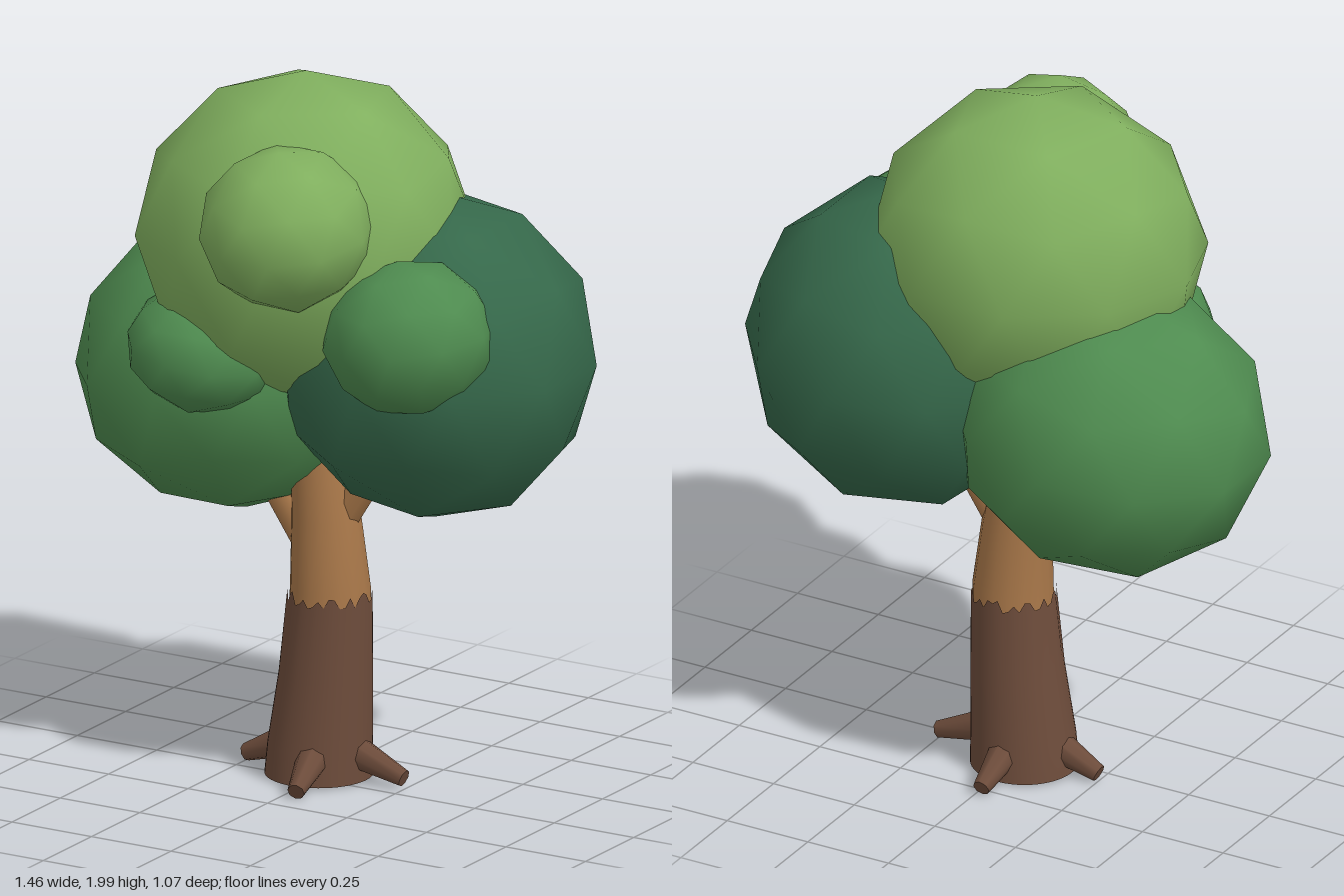
import * as THREE from 'three';

const mat = (name, color) => Object.assign(new THREE.MeshStandardMaterial({ color }), { name });

// Smooth tube lofted through rings [x, y, z, radius]; jag(i) offsets the height of the last ring
function loft(rings, sides, jag = () => 0) {
  const pos = [], index = [];
  rings.forEach(([x, y, z, r], k) => {
    for (let i = 0; i < sides; i++) {
      const a = (i / sides) * Math.PI * 2;
      const lift = k === rings.length - 1 ? jag(i) : 0;
      pos.push(x + r * Math.sin(a), y + lift, z + r * Math.cos(a));
      if (k === 0) continue;
      const j = (i + 1) % sides, lo = (k - 1) * sides, hi = k * sides;
      index.push(lo + i, lo + j, hi + j, lo + i, hi + j, hi + i);
    }
  });
  const geo = new THREE.BufferGeometry();
  geo.setAttribute('position', new THREE.Float32BufferAttribute(pos, 3));
  geo.setIndex(index);
  geo.computeVertexNormals();
  return geo;
}

export function createModel() {
  const tree = new THREE.Group();
  tree.name = 'tree';
  const bark = mat('bark brown', 0x6d4c3b);
  const wood = mat('light wood', 0xa87749);
  const lightLeaf = mat('light green', 0x80af5e);
  const midLeaf = mat('mid green', 0x4f8c50);
  const darkLeaf = mat('dark green', 0x36694b);

  const add = (name, geo, material) => {
    const mesh = new THREE.Mesh(geo, material);
    mesh.name = name;
    tree.add(mesh);
    return mesh;
  };

  // Tapered round limb between two points
  const limb = (name, from, to, r0, r1, material) => {
    const a = new THREE.Vector3(...from), b = new THREE.Vector3(...to);
    const dir = b.clone().sub(a);
    const mesh = add(name, new THREE.CylinderGeometry(r1, r0, dir.length(), 8), material);
    mesh.position.copy(a).add(b).multiplyScalar(0.5);
    mesh.quaternion.setFromUnitVectors(new THREE.Vector3(0, 1, 0), dir.normalize());
  };

  // Lower trunk with a ragged bark edge
  const teeth = [0, 0.028, 0.024, 0.004, 0.03, 0.006, 0.002, 0.035, 0.03, 0, 0.022, 0.004];
  add('barkTrunk', loft([
    [-0.02, 0.01, -0.05, 0.147], [-0.016, 0.1, -0.05, 0.142],
    [0, 0.3, -0.053, 0.127], [0.011, 0.505, -0.055, 0.115],
  ], 48, (i) => teeth[(i * 5 + Math.floor(i / 12)) % 12]), bark);
  const base = add('trunkBase', new THREE.CircleGeometry(0.147, 24), bark);
  base.rotation.x = Math.PI / 2;
  base.position.set(-0.02, 0.01, -0.05);

  // Bare upper trunk
  add('upperTrunk', loft([
    [0.011, 0.45, -0.055, 0.113], [0.013, 0.54, -0.055, 0.11],
    [0, 0.74, -0.055, 0.095], [-0.02, 0.9, -0.055, 0.08], [-0.03, 1.1, -0.04, 0.06],
  ], 16), wood);

  // Branches that run into the crown
  limb('leftBranch', [0.02, 0.7, -0.06], [0.2, 0.98, -0.08], 0.05, 0.04, wood);
  limb('rightBranch', [-0.04, 0.66, -0.05], [-0.24, 0.92, -0.06], 0.055, 0.045, wood);

  // Four roots around the foot
  limb('rightRoot', [-0.09, 0.095, -0.05], [-0.25, 0.028, -0.05], 0.05, 0.024, bark);
  limb('leftRoot', [0.07, 0.095, -0.05], [0.247, 0.035, -0.05], 0.05, 0.024, bark);
  limb('frontRoot', [0.02, 0.095, 0.03], [0.05, 0.028, 0.185], 0.05, 0.024, bark);
  limb('backRoot', [-0.02, 0.095, -0.13], [-0.02, 0.03, -0.285], 0.05, 0.024, bark);

  // Leaf clumps: coarse, smooth-shaded balls with a corner at the top
  const ball = new THREE.IcosahedronGeometry(1, 1);
  ball.rotateZ(Math.atan(2 / (1 + Math.sqrt(5))));
  [
    ['topCrown', lightLeaf, [-0.03, 1.54, 0], [0.465, 0.46, 0.425], [0, 0.3, 0]],
    ['leftCrown', darkLeaf, [0.31, 1.225, -0.115], [0.445, 0.458, 0.43], [0, 0, 0]],
    ['rightCrown', midLeaf, [-0.31, 1.115, -0.085], [0.445, 0.41, 0.41], [0, 0, 0.1]],
    ['frontTopClump', lightLeaf, [0.09, 1.655, 0.295], [0.24, 0.228, 0.238], [0.2, 0.3, 0]],
    ['frontLeftClump', midLeaf, [0.41, 1.37, 0.19], [0.238, 0.215, 0.225], [0, 0.3, 0.15]],
    ['frontRightClump', midLeaf, [-0.22, 1.245, 0.215], [0.215, 0.175, 0.21], [0, 0, -0.15]],
  ].forEach(([name, material, position, scale, turn]) => {
    const clump = add(name, ball, material);
    clump.position.set(...position);
    clump.scale.set(...scale);
    clump.rotation.set(...turn);
  });

  return tree;
}
